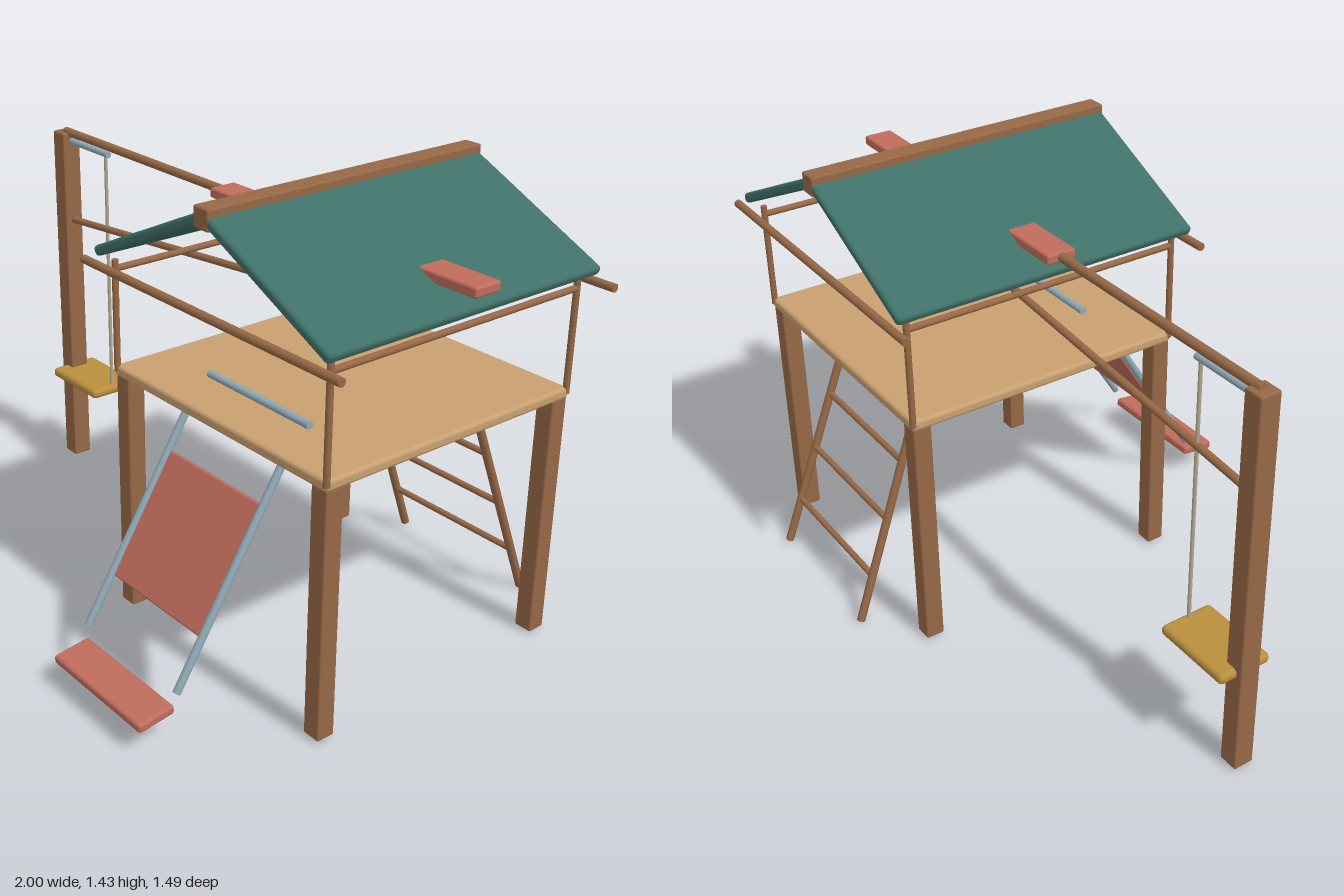
import * as THREE from 'three';
import { RoundedBoxGeometry } from 'three/addons/geometries/RoundedBoxGeometry.js';

const mat = (color) => new THREE.MeshStandardMaterial({ color });
const V = (x, y, z) => new THREE.Vector3(x, y, z);

export function createModel() {
  const model = new THREE.Group();
  const wood = mat(0x966846), deck = mat(0xc8a070), green = mat(0x3f7068);
  const red = mat(0xc06c5c), steel = mat(0x8fa9b5), yellow = mat(0xb98f3e), ropeMat = mat(0xb5a88e);

  function box(name, size, pos, material, bevel = 0.006, rot = [0, 0, 0]) {
    const mesh = new THREE.Mesh(new RoundedBoxGeometry(...size, 2, bevel), material);
    mesh.name = name;
    mesh.position.set(...pos);
    mesh.rotation.set(...rot);
    model.add(mesh);
    return mesh;
  }

  // Round bar between two points
  function bar(name, a, b, radius, material = wood) {
    const dir = b.clone().sub(a);
    const mesh = new THREE.Mesh(new THREE.CylinderGeometry(radius, radius, dir.length(), 14), material);
    mesh.name = name;
    mesh.position.copy(a).add(b).multiplyScalar(0.5);
    mesh.quaternion.setFromUnitVectors(V(0, 1, 0), dir.normalize());
    model.add(mesh);
    return mesh;
  }

  const cx = 0.448, cz = -0.136;

  // Tower: platform, legs, posts and upper rails
  box('platform', [0.935, 0.036, 0.935], [cx, 0.802, cz], deck, 0.012);
  for (const sx of [-1, 1]) {
    for (const sz of [-1, 1]) {
      box('leg', [0.06, 0.78, 0.06], [cx + sx * 0.434, 0.4, cz + sz * 0.434], wood);
      const px = cx + sx * 0.46, pz = cz + sz * 0.462;
      bar('cornerPost', V(px, 0.8, pz), V(px, 1.15, pz), 0.01);
    }
    const rx = cx + sx * 0.46;
    bar('sideRail', V(rx, 1.122, cz - 0.462), V(rx, 1.122, cz + 0.462), 0.01);
    const rz = cz + sx * 0.51;
    bar('eaveRail', V(-0.1, 1.137, rz), V(1, 1.137, rz), 0.013);
  }

  // Gabled roof with ridge beam and cross board
  const run = 0.495, rise = 0.231, pitch = Math.atan2(rise, run);
  for (const s of [-1, 1]) {
    box('roofPanel', [Math.hypot(run, rise) + 0.01, 0.032, 1.016],
      [cx + s * run / 2, 1.174 + rise / 2, cz], green, 0.012, [0, 0, -s * pitch]);
  }
  box('ridgeBeam', [0.063, 0.063, 1.018], [cx, 1.401, cz], wood);
  box('crossBoard', [1.09, 0.032, 0.096], [0.445, 1.249, cz], red, 0.008);

  // Swing frame and swing
  box('swingPost', [0.065, 1.24, 0.067], [-0.967, 0.63, cz], wood);
  bar('swingBeam', V(-0.967, 1.249, cz), V(0.1, 1.249, cz), 0.0145);
  bar('brace', V(-0.96, 0.932, cz), V(0.225, 1.042, cz), 0.012);
  bar('swingHanger', V(-0.96, 1.22, cz), V(-0.71, 1.22, cz), 0.011, steel);
  for (const x of [-0.96, -0.728]) bar('rope', V(x, 0.36, cz), V(x, 1.22, cz), 0.006, ropeMat);
  box('swingSeat', [0.27, 0.034, 0.178], [-0.845, 0.353, cz], yellow, 0.015);

  // Ladder leaning on the back edge
  const top = V(0.235, 0.79, -0.438), foot = V(0.26, 0.008, -0.728);
  for (const s of [-1, 1]) {
    bar('ladderRail', V(cx + s * top.x, top.y, top.z), V(cx + s * foot.x, foot.y, foot.z), 0.0135);
  }
  for (const y of [0.725, 0.537, 0.348, 0.16]) {
    const p = top.clone().lerp(foot, (top.y - y) / (top.y - foot.y));
    bar('rung', V(cx - p.x, y, p.z), V(cx + p.x, y, p.z), 0.01);
  }

  // Slide at the front
  const slope = Math.atan2(0.39, 0.63);
  for (const s of [-1, 1]) {
    bar('slideRail', V(cx + s * 0.212, 0.79, 0.23), V(cx + s * 0.212, 0.16, 0.62), 0.012, steel);
  }
  bar('slideHandle', V(0.23, 0.833, 0.168), V(0.666, 0.833, 0.168), 0.012, steel);
  box('slidePanel', [0.42, 0.4, 0.02], [cx, 0.463, 0.421], red, 0.006, [-slope, 0, 0]);
  box('slideLanding', [0.42, 0.03, 0.122], [cx, 0.1, 0.684], red, 0.01, [0.13, 0, 0]);

  return model;
}
